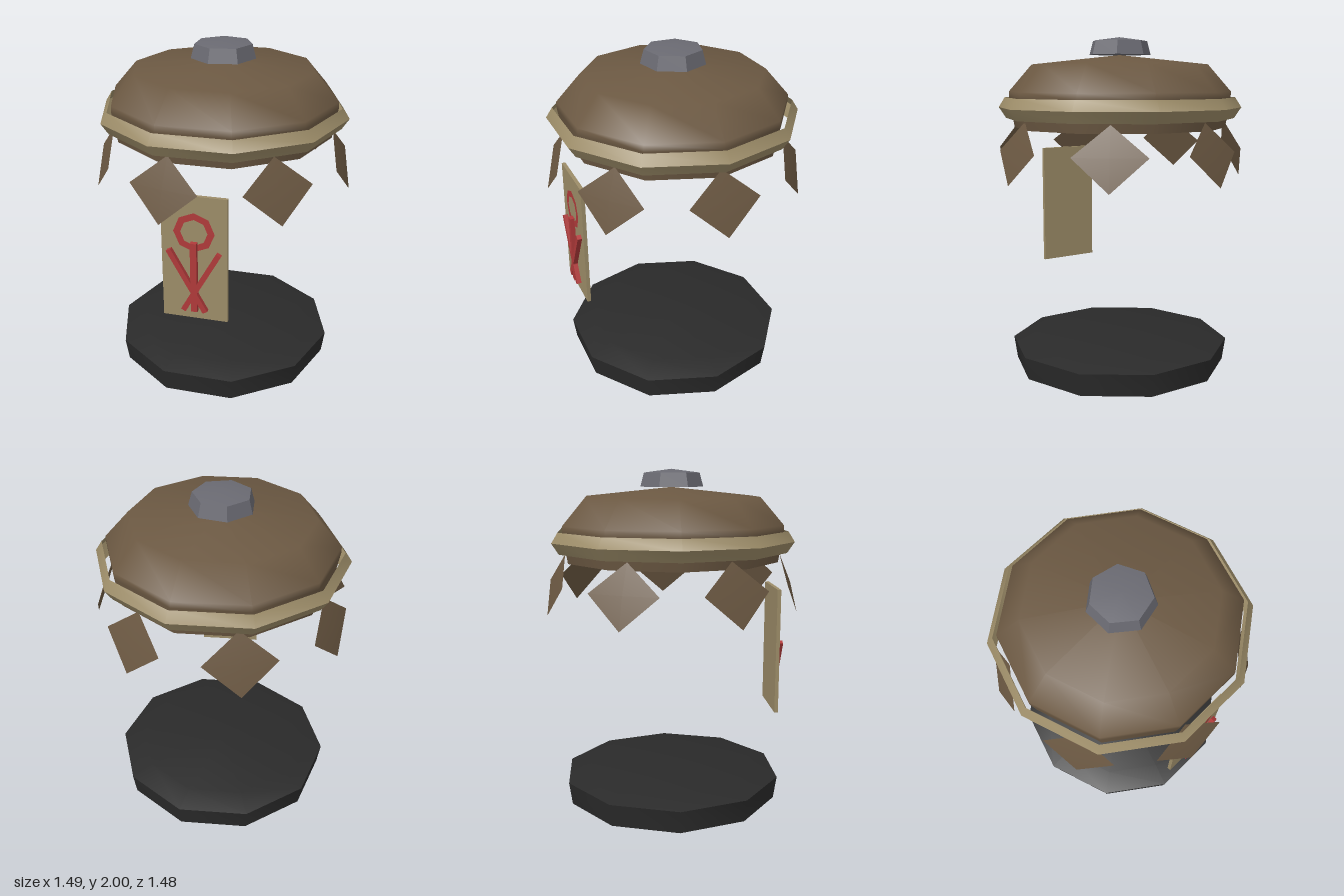
import * as THREE from 'three';
import { toCreasedNormals } from 'three/addons/utils/BufferGeometryUtils.js';

const mat = (name, color, side = THREE.FrontSide) => {
  const m = new THREE.MeshStandardMaterial({ color, side });
  m.name = name;
  return m;
};

export function createModel() {
  const model = new THREE.Group();
  model.name = 'hat on stand';

  const leather = mat('brown leather', 0x6b5842, THREE.DoubleSide);
  const tan = mat('tan cloth', 0x9c8c68, THREE.DoubleSide);
  const red = mat('red paint', 0xb03a3a, THREE.DoubleSide);
  const metal = mat('grey metal', 0x6a6a72);
  const black = mat('black base', 0x2a2a2a);

  const add = (name, geometry, material, parent = model) => {
    const mesh = new THREE.Mesh(geometry, material);
    mesh.name = name;
    parent.add(mesh);
    return mesh;
  };

  // Turned shape from [radius, height] pairs, bottom to top, with a corner on +x
  const turned = (profile, sides, crease) => {
    const g = new THREE.LatheGeometry(profile.map(([r, y]) => new THREE.Vector2(r, y)), sides);
    g.rotateY(Math.PI / 2);
    return crease === undefined ? g : toCreasedNormals(g, crease);
  };

  // All round parts share one slightly offset axis
  const round = new THREE.Group();
  round.name = 'round parts';
  round.position.x = -0.014;
  model.add(round);

  add('base', turned([[0, 0], [0.65, 0], [0.67, 0.135], [0.53, 0.175], [0, 0.175]], 10, 0.7), black, round);
  // Open shell, hollow underneath
  add('dome', turned([[0.64, 1.465], [0.67, 1.64], [0.67, 1.68], [0.53, 1.84], [0, 1.895]], 10), leather, round);
  add('rimBand', turned([[0.692, 1.52], [0.735, 1.585], [0.697, 1.645]], 10, 0.7), tan, round);
  add('topStud', turned([[0, 1.897], [0.19, 1.897], [0.168, 1.978], [0, 2]], 7, 0.4), metal, round);

  // Thin diamond flap with a slight ridge on both faces
  const flap = new THREE.BufferGeometry();
  flap.setAttribute('position', new THREE.Float32BufferAttribute([
    0.643, 1.515, 0, 0.7, 1.345, -0.208, 0.757, 1.16, 0, 0.7, 1.345, 0.208,
    0.712, 1.345, 0, 0.697, 1.345, 0,
  ], 3));
  const faces = [];
  for (let i = 0; i < 4; i++) {
    const j = (i + 1) % 4;
    faces.push(4, j, i, 5, i, j);
  }
  flap.setIndex(faces);
  const flapGeometry = toCreasedNormals(flap, 0.5);
  for (let i = 0; i < 7; i++) {
    add('flap' + (i + 1), flapGeometry, leather, round).rotation.y = (i * Math.PI * 2) / 7;
  }

  // Hanging banner with its painted sign
  const banner = new THREE.Group();
  banner.name = 'banner';
  banner.position.x = -0.016;
  model.add(banner);
  add('bannerCloth', new THREE.BoxGeometry(0.375, 0.755, 0.022), tan, banner).position.set(0, 0.9225, 0.626);
  add('signRing', new THREE.RingGeometry(0.077, 0.117, 8), red, banner).position.set(0, 1.087, 0.641);

  const bar = (name, x1, y1, x2, y2, width) => {
    const b = add(name, new THREE.BoxGeometry(width, Math.hypot(x2 - x1, y2 - y1), 0.028), red, banner);
    b.position.set((x1 + x2) / 2, (y1 + y2) / 2, 0.65);
    b.rotation.z = -Math.atan2(x2 - x1, y2 - y1);
  };
  bar('signStem', 0, 0.6, 0, 1.03, 0.037);
  for (const s of [-1, 1]) bar(s < 0 ? 'signBarRight' : 'signBarLeft', -s * 0.063, 0.603, s * 0.143, 0.975, 0.03);

  return model;
}
